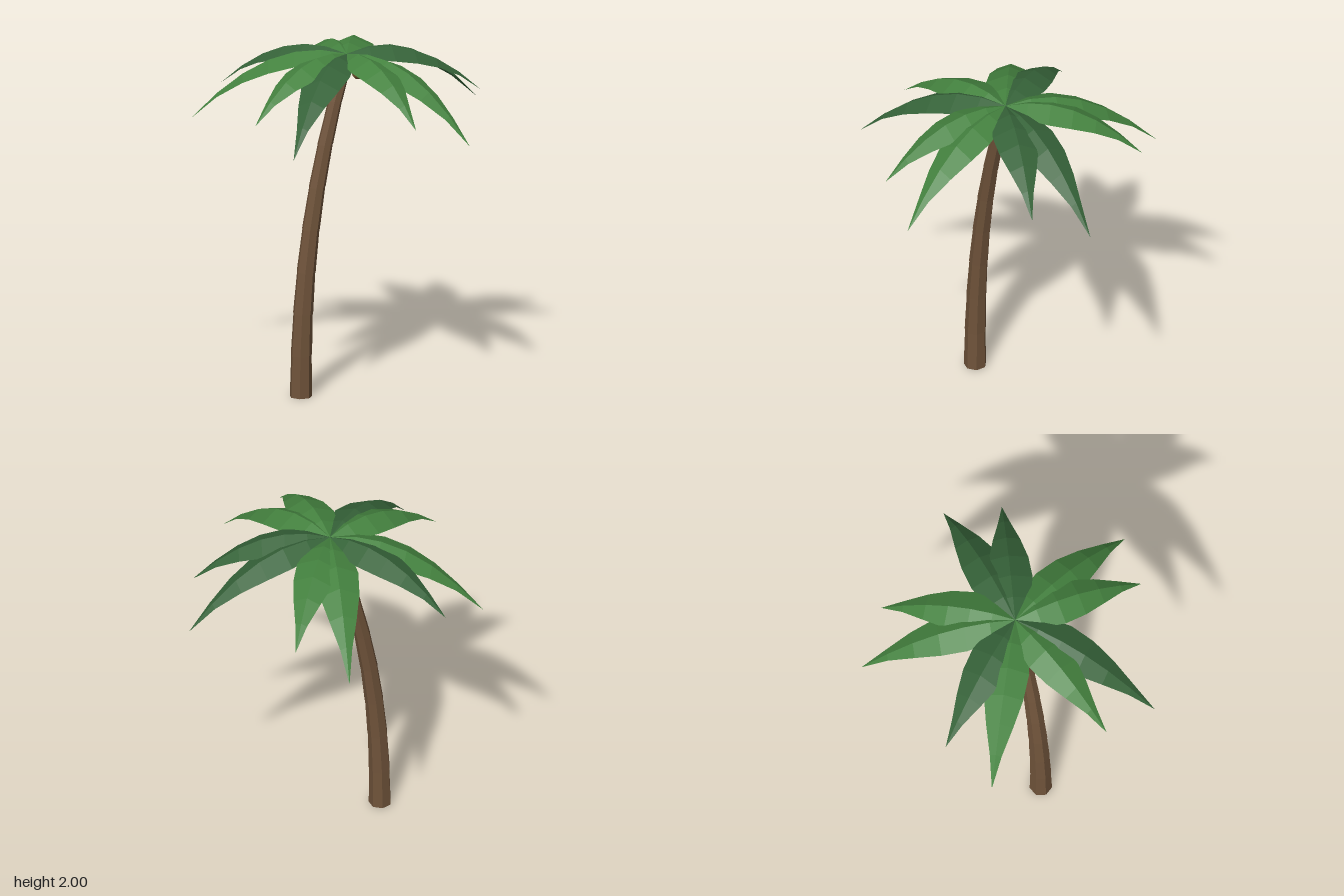
import * as THREE from 'three';

const material = (name, color, extra = {}) => {
  const m = new THREE.MeshStandardMaterial({ color, flatShading: true, ...extra });
  m.name = name;
  return m;
};

const CROWN_X = -0.06, CROWN_Y = 1.97, TRUNK_TOP = 1.95;

// Centre line of the leaning trunk
const trunkX = (y) => -0.375 + 0.315 * Math.pow(Math.max(y, 0) / TRUNK_TOP, 2.2);
const trunkR = (y) => 0.064 - 0.026 * (y / TRUNK_TOP);

// One tapered trunk section, sheared along the centre line
function trunkSection(y0, y1) {
  const h = y1 - y0;
  const geo = new THREE.CylinderGeometry(trunkR(y1) * 0.98, trunkR(y0) * 1.02, h, 7, 1, false, -Math.PI / 2);
  geo.translate(0, y0 + h / 2, 0);
  const p = geo.attributes.position;
  for (let i = 0; i < p.count; i++) p.setX(i, p.getX(i) + trunkX(p.getY(i)));
  geo.computeVertexNormals();
  return geo;
}

// Arched leaf with a raised midrib, pointing along +x
const HALF_WIDTHS = [0.012, 0.1, 0.125, 0.113, 0.078, 0.034, 0];
function frondGeometry(length, rise, fall) {
  const n = HALF_WIDTHS.length - 1;
  const rows = HALF_WIDTHS.map((w, i) => {
    const t = i / n, x = t * length, y = rise * t - fall * t * t;
    return [[x, y - w * 0.45, -w], [x, y, 0], [x, y - w * 0.45, w]];
  });
  const pos = [];
  for (let i = 0; i < n; i++) {
    for (let j = 0; j < 2; j++) {
      const a = rows[i][j], b = rows[i][j + 1], c = rows[i + 1][j + 1], d = rows[i + 1][j];
      pos.push(...a, ...b, ...c);
      if (i < n - 1) pos.push(...a, ...c, ...d);
    }
  }
  const geo = new THREE.BufferGeometry();
  geo.setAttribute('position', new THREE.Float32BufferAttribute(pos, 3));
  geo.computeVertexNormals();
  return geo;
}

export function createModel() {
  const model = new THREE.Group();
  model.name = 'palmTree';
  const bark = material('bark brown', 0x6f533a);
  const husk = material('coconut brown', 0x70552c);
  const lightLeaf = material('light leaf green', 0x44823f, { side: THREE.DoubleSide });
  const darkLeaf = material('dark leaf green', 0x366339, { side: THREE.DoubleSide });

  // Trunk
  const trunk = new THREE.Group();
  trunk.name = 'trunk';
  const sections = 8;
  for (let i = 0; i < sections; i++) {
    const section = new THREE.Mesh(
      trunkSection((i / sections) * TRUNK_TOP, ((i + 1) / sections) * TRUNK_TOP), bark);
    section.name = 'trunkSection';
    trunk.add(section);
  }
  model.add(trunk);

  // Crown: five long drooping fronds, each followed by a shorter, flatter one
  const crown = new THREE.Group();
  crown.name = 'crown';
  crown.position.set(CROWN_X, CROWN_Y, 0);
  const longFrond = frondGeometry(0.885, 0.235, 0.625);
  const shortFrond = frondGeometry(0.78, 0.26, 0.52);
  const darkOnes = [0, 1, 4, 7];
  for (let i = 0; i < 10; i++) {
    const short = i % 2 === 1;
    const frond = new THREE.Mesh(short ? shortFrond : longFrond, darkOnes.includes(i) ? darkLeaf : lightLeaf);
    frond.name = short ? 'shortFrond' : 'longFrond';
    frond.rotation.y = -(Math.floor(i / 2) * Math.PI * 2 / 5 + (short ? 0.38 : 0));
    crown.add(frond);
  }
  model.add(crown);

  // Coconuts under the crown
  const nutGeometry = new THREE.SphereGeometry(0.035, 8, 6);
  for (const [x, y, z] of [[-0.035, 1.87, 0.075], [-0.035, 1.87, -0.075], [0, 1.875, 0.01]]) {
    const nut = new THREE.Mesh(nutGeometry, husk);
    nut.name = 'coconut';
    nut.position.set(x, y, z);
    model.add(nut);
  }
  return model;
}
